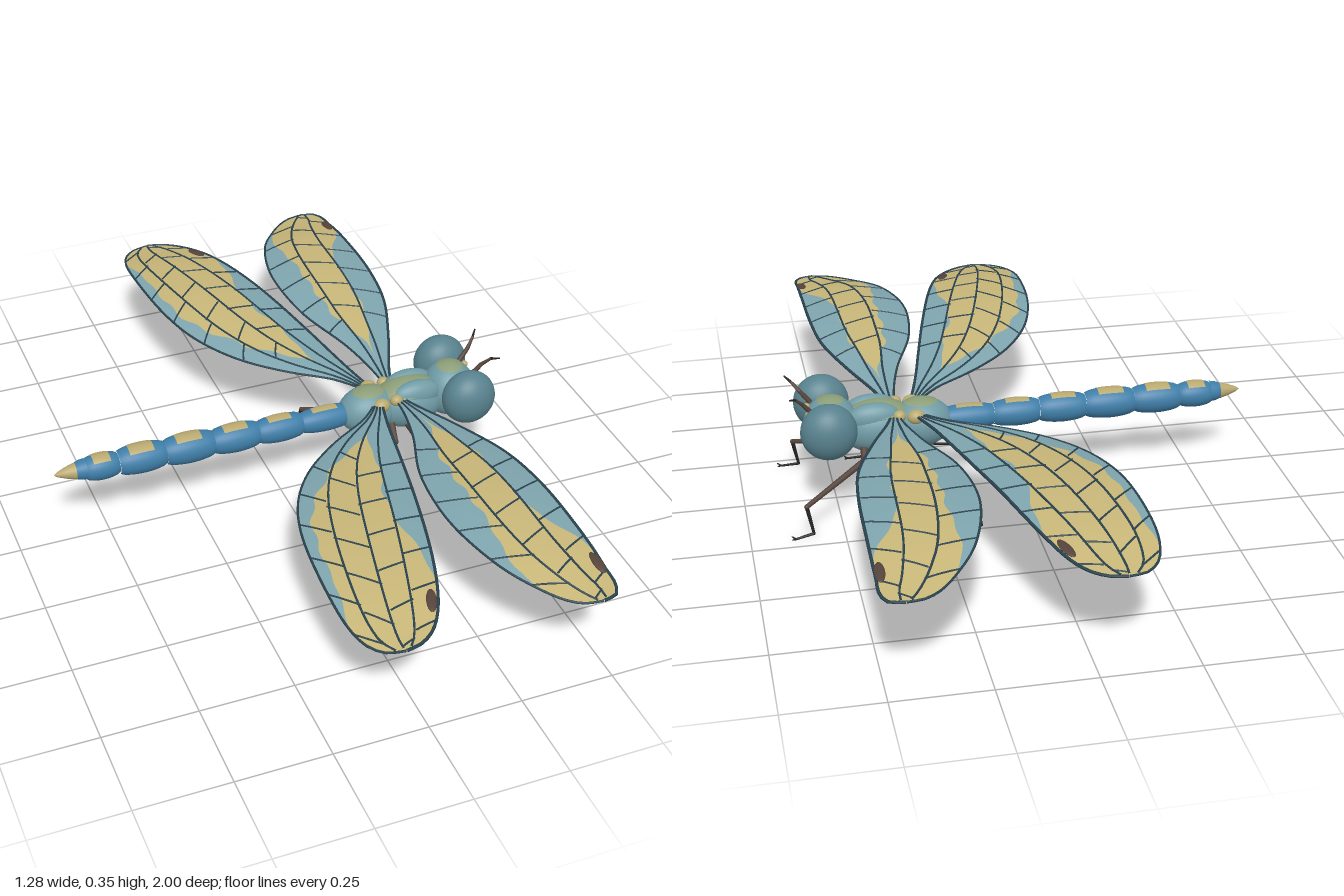
import * as THREE from 'three';

const mat = (name, color, double) => {
  const m = new THREE.MeshStandardMaterial({ color });
  m.name = name;
  if (double) m.side = THREE.DoubleSide;
  return m;
};
const V = (x, y, z) => new THREE.Vector3(x, y, z);
const { clamp, smoothstep } = THREE.MathUtils;

export function createModel() {
  const M = {
    teal: mat('tealBody', 0x709ba5),
    eye: mat('eyeTeal', 0x58828e),
    olive: mat('oliveMarking', 0x8b9d78, true),
    blue: mat('abdomenBlue', 0x3f7ea8),
    tan: mat('tanMarking', 0xb9a970, true),
    wing: mat('wingTeal', 0x7fa5ae, true),
    wingTan: mat('wingTan', 0xc8b678, true),
    vein: mat('darkVein', 0x2a434f),
    brown: mat('legBrown', 0x55433a),
    dark: mat('darkClaw', 0x242322),
  };
  const root = new THREE.Group();
  root.name = 'dragonfly';

  const add = (parent, name, geo, material) => {
    const m = new THREE.Mesh(geo, material);
    m.name = name;
    parent.add(m);
    return m;
  };
  const group = (name) => {
    const g = new THREE.Group();
    g.name = name;
    root.add(g);
    return g;
  };
  const ball = (parent, name, p, r, material) => {
    const m = add(parent, name, new THREE.SphereGeometry(1, 32, 22), material);
    m.position.set(...p);
    m.scale.set(...r);
    return m;
  };
  // Thin marking lying over the top of an ellipsoid
  const cap = (parent, name, p, r, material, angle) => {
    const m = add(parent, name, new THREE.SphereGeometry(1, 28, 8, 0, Math.PI * 2, 0, angle), material);
    m.position.set(...p);
    m.scale.set(...r.map((v) => v + 0.002));
  };
  // Tapered limb piece between two points, with a rounded joint
  const limb = (parent, name, a, b, r0, r1, material) => {
    const d = b.clone().sub(a);
    const m = add(parent, name, new THREE.CylinderGeometry(r1, r0, d.length(), 8), material);
    m.position.copy(a).addScaledVector(d, 0.5);
    m.quaternion.setFromUnitVectors(V(0, 1, 0), d.normalize());
    ball(parent, name + 'Joint', b.toArray(), [r1, r1, r1], material);
  };

  // Abdomen: swollen rings along x, each with a narrow tan saddle
  const abdomen = group('abdomen');
  const joints = [0.2, 0.06, -0.067, -0.197, -0.334, -0.465, -0.557];
  const radii = [0.036, 0.039, 0.041, 0.043, 0.042, 0.037];
  const ring = (x0, x1, r, u0, u1, phi, span, seg) => {
    const pts = [];
    for (let i = 0; i <= 12; i++) {
      const u = u0 + (u1 - u0) * i / 12;
      pts.push(new THREE.Vector2(r * (0.74 + 0.26 * Math.pow(Math.sin(Math.PI * clamp(u, 0, 1)), 0.6)), x0 + (x1 - x0) * u));
    }
    return new THREE.LatheGeometry(pts, seg, phi, span).rotateZ(-Math.PI / 2);
  };
  radii.forEach((r, i) => {
    const y = 0.215 + 0.0016 * i;
    add(abdomen, 'abdomenSegment', ring(joints[i + 1], joints[i], r, 0, 1, 0, Math.PI * 2, 28), M.blue).position.y = y;
    const w = 0.35 + 0.07 * i;
    add(abdomen, 'abdomenSaddle', ring(joints[i + 1], joints[i], r + 0.0012, 0.22, 0.74, 1.5 * Math.PI - w, 2 * w, 10), M.tan).position.y = y;
  });
  const tail = (pts, name, m) => add(abdomen, name, new THREE.LatheGeometry(
    pts.map(([r, x]) => new THREE.Vector2(r, x)), 24).rotateZ(-Math.PI / 2), m).position.set(0, 0.226, 0);
  tail([[0.022, -0.585], [0.027, -0.57], [0.029, -0.555]], 'tailRing', M.blue);
  tail([[0, -0.642], [0.007, -0.632], [0.016, -0.608], [0.023, -0.583]], 'tailTip', M.tan);

  // Thorax: rear and front masses plus paired shoulder humps
  const thorax = group('thorax');
  ball(thorax, 'rearThorax', [0.26, 0.213, 0], [0.086, 0.068, 0.066], M.teal);
  cap(thorax, 'rearThoraxMarking', [0.26, 0.213, 0], [0.086, 0.068, 0.066], M.olive, 0.55);
  ball(thorax, 'frontThorax', [0.38, 0.213, 0], [0.105, 0.074, 0.072], M.teal);
  cap(thorax, 'frontThoraxMarking', [0.38, 0.213, 0], [0.105, 0.074, 0.072], M.olive, 0.95);
  for (const s of [1, -1]) {
    ball(thorax, 'shoulderHump', [0.392, 0.25, s * 0.029], [0.074, 0.042, 0.032], M.teal);
    ball(thorax, 'hindWingHinge', [0.28, 0.25, s * 0.048], [0.024, 0.02, 0.02], M.tan);
    ball(thorax, 'foreWingHinge', [0.325, 0.256, s * 0.047], [0.018, 0.016, 0.016], M.tan);
  }

  // Head, eyes and feelers
  const head = group('head');
  ball(head, 'skull', [0.505, 0.228, 0], [0.075, 0.08, 0.075], M.teal);
  cap(head, 'skullMarking', [0.505, 0.228, 0], [0.075, 0.08, 0.075], M.olive, 0.5);
  ball(head, 'face', [0.535, 0.2, 0], [0.045, 0.05, 0.052], M.teal);
  for (const s of [1, -1]) {
    ball(head, 'eye', [0.521, 0.252, s * 0.096], [0.076, 0.078, 0.06], M.eye);
    ball(head, 'smallEye', [0.566, 0.272, s * 0.028], [0.01, 0.01, 0.01], M.tan);
    const path = [V(0.555, 0.28, s * 0.038), V(0.582, 0.313, s * 0.044), V(0.602, 0.335, s * 0.058), V(0.618, 0.345, s * 0.078)];
    for (let i = 0; i < 3; i++) {
      limb(head, 'feeler', path[i], path[i + 1], 0.0075 - 0.0018 * i, 0.0057 - 0.0018 * i, i < 2 ? M.brown : M.dark);
    }
  }

  // Legs: hip, knee, ankle, toe
  const legs = {
    hindLeg: [V(0.31, 0.18, 0.045), V(0.31, 0.14, 0.08), V(0.155, 0.082, 0.235), V(0.14, 0.01, 0.245), V(0.19, 0.005, 0.264)],
    middleLeg: [V(0.36, 0.18, 0.045), V(0.372, 0.15, 0.075), V(0.413, 0.085, 0.203), V(0.393, 0.012, 0.213), V(0.442, 0.005, 0.222)],
    frontLeg: [V(0.42, 0.18, 0.04), V(0.425, 0.142, 0.065), V(0.598, 0.088, 0.195), V(0.583, 0.012, 0.205), V(0.632, 0.005, 0.214)],
  };
  for (const [name, pts] of Object.entries(legs)) for (const s of [1, -1]) {
    const g = group(name);
    const p = pts.map((q) => V(q.x, q.y, q.z * s));
    limb(g, 'hip', p[0], p[1], 0.014, 0.01, M.brown);
    limb(g, 'thigh', p[1], p[2], 0.009, 0.0065, M.brown);
    limb(g, 'shin', p[2], p[3], 0.006, 0.004, M.dark);
    limb(g, 'foot', p[3], p[4], 0.004, 0.003, M.dark);
    for (const k of [1, -1]) {
      limb(g, 'claw', p[4], p[4].clone().add(V(0.009, 0.003, k * 0.009)), 0.003, 0.0015, M.dark);
    }
  }

  // Wings: surface P(s, t), s along the span, t from leading to trailing edge
  const curve = (pts) => new THREE.SplineCurve(pts.map(([x, y]) => new THREE.Vector2(x, y)));
  const arch = curve([[0, 0.25], [0.2, 0.276], [0.4, 0.297], [0.6, 0.307], [0.8, 0.294], [1, 0.26]]);
  const wings = {
    foreWing: {
      lead: curve([[0.345, 0.035], [0.37, 0.11], [0.425, 0.24], [0.48, 0.4], [0.5, 0.56], [0.505, 0.75], [0.505, 0.9], [0.5, 0.975], [0.45, 0.995]]),
      trail: curve([[0.325, 0.035], [0.318, 0.11], [0.288, 0.24], [0.228, 0.42], [0.213, 0.62], [0.255, 0.8], [0.325, 0.915], [0.39, 0.98], [0.45, 0.995]]),
      t1: (s) => 0.3 - 0.3 * smoothstep(s, 0.6, 0.84),
      t2: (s) => 0.7 + 0.3 * smoothstep(s, 0.55, 0.9),
      start: 0.12, spot: [0.494, 0.88, 0.05], ribs: [0, 0.32, 0.64, 1],
    },
    hindWing: {
      lead: curve([[0.285, 0.035], [0.25, 0.16], [0.215, 0.32], [0.175, 0.5], [0.115, 0.74], [0.06, 0.89], [0, 0.965], [-0.065, 0.987]]),
      trail: curve([[0.265, 0.035], [0.2, 0.105], [0.08, 0.185], [-0.03, 0.285], [-0.11, 0.41], [-0.155, 0.56], [-0.172, 0.74], [-0.167, 0.88], [-0.13, 0.965], [-0.065, 0.987]]),
      t1: (s) => 0.26 - 0.26 * smoothstep(s, 0.45, 0.8),
      t2: (s) => 0.76 + 0.14 * smoothstep(s, 0.3, 0.55) + 0.1 * smoothstep(s, 0.75, 0.9),
      start: 0.14, spot: [0.054, 0.865, -0.35], ribs: [0, 0.25, 0.5, 0.76, 1],
    },
  };
  for (const [name, w] of Object.entries(wings)) for (const side of [1, -1]) {
    const g = group(name);
    const P = (s, t) => {
      const p = w.lead.getPointAt(s).lerp(w.trail.getPointAt(s), t);
      const camber = 0.014 * (2 * t - 1) ** 2 * Math.sin(Math.PI * s);
      return V(p.x, arch.getPoint(clamp(p.y, 0, 1)).y - camber, side * p.y);
    };
    // Tan field narrows to nothing near the root and has a gently ragged rim
    const open = (s) => smoothstep(s, w.start, w.start + 0.2);
    const rag = (s) => 0.04 * Math.sin(s * 47) * open(s);
    const a = (s) => clamp(0.5 + (w.t1(s) - 0.5) * open(s) + rag(s) * (1 - s), 0, 1);
    const b = (s) => clamp(0.5 + (w.t2(s) - 0.5) * open(s) + rag(s * 1.3) * (1 - s), 0, 1);
    const strip = (label, from, to, material) => {
      const pos = [], idx = [], n = 60, k = 4;
      for (let i = 0; i <= n; i++) for (let j = 0; j <= k; j++) {
        const s = i / n;
        pos.push(...P(s, from(s) + (to(s) - from(s)) * j / k).toArray());
        if (i < n && j < k) {
          const q = i * (k + 1) + j, r = q + k + 1;
          idx.push(...(side > 0 ? [q, q + 1, r, r, q + 1, r + 1] : [q, r, q + 1, r, r + 1, q + 1]));
        }
      }
      const geo = new THREE.BufferGeometry();
      geo.setAttribute('position', new THREE.Float32BufferAttribute(pos, 3));
      geo.setIndex(idx);
      geo.computeVertexNormals();
      add(g, label, geo, material);
    };
    strip('leadingMembrane', () => 0, a, M.wing);
    strip('centreMembrane', a, b, M.wingTan);
    strip('trailingMembrane', b, () => 1, M.wing);

    // Veins: rim, long ribs and staggered cross ribs
    const vein = (label, f, n, r) => {
      const pts = Array.from({ length: n + 1 }, (_, i) => f(i / n));
      add(g, label, new THREE.TubeGeometry(new THREE.CatmullRomCurve3(pts), n * 2, r, 6), M.vein);
    };
    vein('leadingRim', (u) => P(u, 0), 24, 0.0042);
    vein('trailingRim', (u) => P(u, 1), 24, 0.0032);
    const { ribs } = w;
    for (const t of ribs.slice(1, -1)) vein('longVein', (u) => P(u * 0.965, t + 0.02 * Math.sin(u * 9)), 20, 0.003);
    for (let c = 0; c < ribs.length - 1; c++) for (let i = 0; i < 6; i++) {
      const s0 = 0.3 + i * 0.115 + (c % 2) * 0.05;
      const slant = c < 2 ? 0.025 : -0.045;
      vein('crossVein', (u) => P(s0 + slant * u, ribs[c] + (ribs[c + 1] - ribs[c]) * u), 5, 0.0026);
    }
    // Dark cell near the tip
    const [x, z, turn] = w.spot;
    const spot = ball(g, 'wingSpot', [x, arch.getPoint(z).y - 0.004, side * z], [0.013, 0.0048, 0.036], M.brown);
    spot.rotation.set(side * 0.16, side * turn, 0);
  }
  return root;
}
